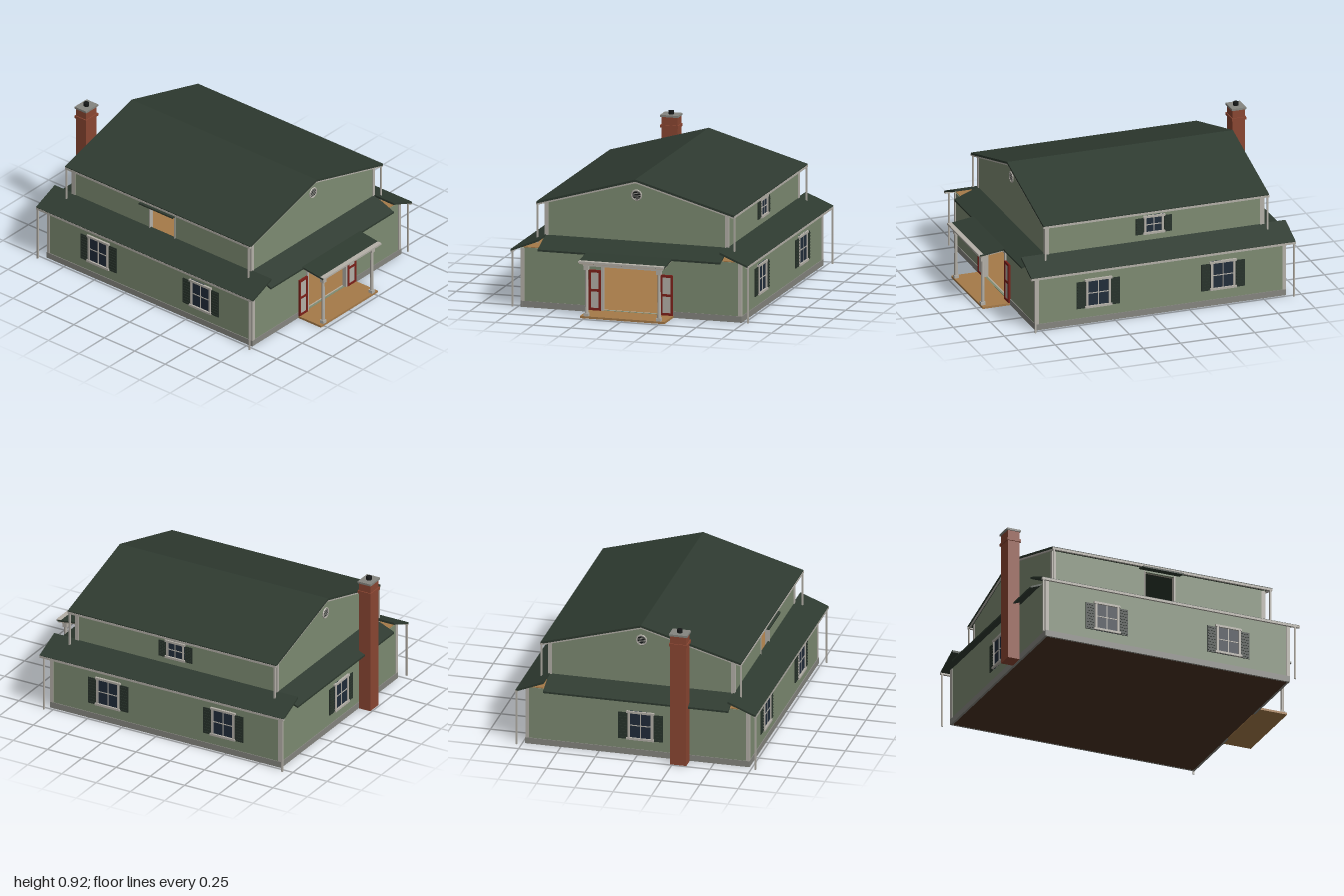
import * as THREE from 'three';

const mat = (color) => new THREE.MeshStandardMaterial({ color, flatShading: true });
const M = {
  siding: mat(0x7d8b72), roof: mat(0x2e3a30), trim: mat(0xb4b0a8), inside: mat(0xb4aa9c),
  stone: mat(0x85857f), brick: mat(0x8a4632), wood: mat(0xa57a48), earth: mat(0x4a3222),
  red: mat(0x7c2019), glass: mat(0x202c3a), shutter: mat(0x28332b), black: mat(0x161818),
};

export function createModel() {
  const house = new THREE.Group();
  house.name = 'house';

  const add = (name, geo, m, parent = house) => {
    const mesh = new THREE.Mesh(geo, m);
    mesh.name = name;
    parent.add(mesh);
    return mesh;
  };
  // box from its min and max along each axis
  const box = (name, m, x0, x1, y0, y1, z0, z1, parent) =>
    add(name, new THREE.BoxGeometry(x1 - x0, y1 - y0, z1 - z0)
      .translate((x0 + x1) / 2, (y0 + y1) / 2, (z0 + z1) / 2), m, parent);

  const outline = (pts, hole) => {
    const s = new THREE.Shape(pts.map((p) => new THREE.Vector2(...p)));
    if (hole) {
      const [a, b, c, d] = hole;
      s.holes.push(new THREE.Path([[a, c], [a, d], [b, d], [b, c]].map((p) => new THREE.Vector2(...p))));
    }
    return s;
  };
  const extrude = (pts, depth, hole) =>
    new THREE.ExtrudeGeometry(outline(pts, hole), { depth, bevelEnabled: false });
  // (x, y) outline running z0..z1, and (z, y) outline running x0..x1
  const alongZ = (name, m, pts, z0, z1, hole) =>
    add(name, extrude(pts, z1 - z0, hole).translate(0, 0, z0), m);
  const alongX = (name, m, pts, x0, x1, hole) =>
    add(name, extrude(pts, x1 - x0, hole).rotateY(-Math.PI / 2).translate(x1, 0, 0), m);

  const rect = (a, b, c, d) => [[a, c], [b, c], [b, d], [a, d]];
  const gable = (z, y0, y1, top) => [[-z, y0], [z, y0], [z, y1], [0, top], [-z, y1]];

  // foundation and floors
  box('groundSlab', M.earth, -0.89, 0.77, 0, 0.006, -0.72, 0.72);
  box('groundFloor', M.wood, -0.88, 0.775, 0.006, 0.014, -0.71, 0.71);
  for (const s of [-1, 1]) {
    const z = s * 0.727;
    box('foundationLong', M.stone, -0.905, 0.785, 0, 0.04, z - 0.006, z + 0.006);
  }
  box('foundationLeftEnd', M.stone, -0.905, -0.89, 0, 0.04, -0.73, 0.73);
  for (const s of [-1, 1])
    box('foundationDoorEnd', M.stone, 0.772, 0.784, 0, 0.04, Math.min(s * 0.2, s * 0.73), Math.max(s * 0.2, s * 0.73));

  // ground storey walls with pale lining
  const doorway = [-0.19, 0.19, 0.015, 0.325];
  for (const s of [-1, 1]) {
    const z = s * 0.72, zi = s * 0.707;
    box('longWall', M.siding, -0.9, 0.78, 0.03, 0.385, z - 0.008, z + 0.008);
    box('longWallLining', M.inside, -0.89, 0.77, 0.014, 0.375, zi - 0.005, zi + 0.005);
  }
  alongX('chimneyEndWall', M.siding, rect(-0.728, 0.728, 0.03, 0.385), -0.9, -0.885);
  alongX('chimneyEndLining', M.inside, rect(-0.71, 0.71, 0.014, 0.375), -0.885, -0.875);
  alongX('porchEndWall', M.siding, rect(-0.728, 0.728, 0.01, 0.385), 0.765, 0.78, doorway);
  alongX('porchEndLining', M.inside, rect(-0.71, 0.71, 0.01, 0.375), 0.755, 0.765, doorway);
  box('ceiling', M.inside, -0.89, 0.77, 0.374, 0.382, -0.715, 0.715);
  box('upperFloor', M.wood, -0.895, 0.775, 0.382, 0.39, -0.72, 0.72);

  // upper storey
  const loft = [-0.16, 0.04, 0.4, 0.64];
  alongZ('upperFrontWall', M.siding, rect(-0.8, 0.67, 0.385, 0.665), 0.59, 0.605, loft);
  alongZ('upperFrontLining', M.inside, rect(-0.79, 0.66, 0.39, 0.66), 0.58, 0.59, loft);
  box('upperBackWall', M.siding, -0.8, 0.67, 0.385, 0.665, -0.605, -0.59);
  box('upperBackLining', M.inside, -0.79, 0.66, 0.39, 0.66, -0.59, -0.58);
  for (const [x, dir] of [[0.67, -1], [-0.8, 1]]) {
    const span = (a, b) => [Math.min(x + dir * a, x + dir * b), Math.max(x + dir * a, x + dir * b)];
    alongX('gableWall', M.siding, gable(0.605, 0.385, 0.667, 0.842), ...span(0, 0.015));
    alongX('gableLining', M.inside, gable(0.59, 0.39, 0.66, 0.83), ...span(0.015, 0.025));
  }

  // corner boards
  for (const sz of [-1, 1]) {
    for (const x of [-0.893, 0.773]) {
      box('cornerBoard', M.trim, x - 0.012, x + 0.012, 0.04, 0.383, sz * 0.72 - 0.012, sz * 0.72 + 0.012);
    }
    for (const x of [-0.79, 0.66]) {
      box('upperCornerBoard', M.trim, x - 0.014, x + 0.014, 0.39, 0.66, sz * 0.597 - 0.012, sz * 0.597 + 0.012);
    }
  }

  // main roof with rake boards
  const chevron = (z, top, eave, t) =>
    [[-z, eave - t], [0, top - t], [z, eave - t], [z, eave], [0, top], [-z, eave]];
  alongX('mainRoof', M.roof, chevron(0.655, 0.857, 0.67, 0.014), -0.82, 0.7);
  for (const x of [-0.816, 0.688])
    alongX('rakeBoard', M.trim, chevron(0.645, 0.844, 0.66, 0.012), x, x + 0.008);

  for (const s of [-1, 1]) {
    // front and back skirt roofs, gutters and downspouts
    const skirt = [[0.6, 0.442], [0.785, 0.368], [0.785, 0.38], [0.6, 0.456]].map(([z, y]) => [s * z, y]);
    alongX('skirtRoof', M.roof, skirt, -0.95, 0.83);
    box('skirtGutter', M.trim, -0.95, 0.83, 0.362, 0.377, s * 0.779 - 0.007, s * 0.779 + 0.007);
    box('upperGutter', M.trim, -0.82, 0.7, 0.65, 0.664, s * 0.65 - 0.007, s * 0.65 + 0.007);
    for (const x of [-0.94, 0.8])
      box('downspout', M.trim, x - 0.005, x + 0.005, 0.004, 0.37, s * 0.78 - 0.005, s * 0.78 + 0.005);
    for (const x of [-0.81, 0.686])
      box('upperDownspout', M.trim, x - 0.005, x + 0.005, 0.4, 0.66, s * 0.652 - 0.005, s * 0.652 + 0.005);
  }
  // end skirt roofs
  alongZ('porchEndSkirt', M.roof, [[0.665, 0.44], [0.83, 0.378], [0.83, 0.39], [0.665, 0.454]], -0.605, 0.605);
  alongZ('chimneyEndSkirt', M.roof, [[-0.795, 0.44], [-0.95, 0.378], [-0.95, 0.39], [-0.795, 0.454]], -0.605, 0.605);

  // loft opening trim and awning
  for (const x of [-0.163, 0.043])
    box('loftJamb', M.trim, x - 0.004, x + 0.004, 0.4, 0.645, 0.585, 0.612);
  alongX('loftAwning', M.roof, [[0.6, 0.652], [0.672, 0.638], [0.672, 0.648], [0.6, 0.664]], -0.2, 0.08);

  // porch
  box('porchFloor', M.wood, 0.775, 0.97, 0, 0.014, -0.28, 0.28);
  alongZ('porchRoof', M.roof, [[0.79, 0.386], [0.99, 0.36], [0.99, 0.37], [0.79, 0.398]], -0.285, 0.285);
  alongZ('porchCeiling', M.inside, [[0.78, 0.379], [0.985, 0.353], [0.985, 0.36], [0.78, 0.386]], -0.28, 0.28);
  box('porchGutter', M.trim, 0.966, 0.998, 0.362, 0.374, -0.283, 0.283);
  box('porchBeam', M.trim, 0.94, 0.97, 0.34, 0.358, -0.26, 0.26);
  for (const z of [-0.24, 0.24]) {
    const post = new THREE.Group();
    post.name = 'porchPost';
    post.position.set(0.955, 0.014, z);
    house.add(post);
    add('shaft', new THREE.CylinderGeometry(0.01, 0.012, 0.326, 12).translate(0, 0.163, 0), M.trim, post);
    box('base', M.trim, -0.015, 0.015, 0, 0.02, -0.015, 0.015, post);
    box('capital', M.trim, -0.015, 0.015, 0.3, 0.326, -0.015, 0.015, post);
  }

  // doorway casing and doors folded back on the wall
  box('doorHead', M.trim, 0.762, 0.792, 0.32, 0.335, -0.205, 0.205);
  for (const s of [-1, 1]) {
    box('doorJamb', M.trim, 0.762, 0.79, 0.014, 0.325, s * 0.19 - 0.008, s * 0.19 + 0.008);
    const door = new THREE.Group();
    door.name = 'openDoor';
    door.position.set(0.789, 0.014, s * 0.238);
    house.add(door);
    box('doorPanels', M.trim, -0.005, 0.003, 0.01, 0.25, -0.034, 0.034, door);
    for (const z of [-0.033, 0.033]) box('stile', M.red, -0.006, 0.006, 0, 0.26, z - 0.007, z + 0.007, door);
    for (const y of [0.008, 0.13, 0.253]) box('rail', M.red, -0.006, 0.006, y - 0.008, y + 0.008, -0.036, 0.036, door);
  }

  // shuttered window facing +z, origin at its centre
  const addWindow = (w, h, sw, x, y, z, turn) => {
    const g = new THREE.Group();
    g.name = 'window';
    g.position.set(x, y, z);
    g.rotation.y = turn;
    house.add(g);
    const a = w / 2, b = h / 2, t = 0.014;
    box('glass', M.glass, -a, a, -b, b, -0.004, 0.003, g);
    for (const s of [-1, 1]) {
      box('sideCasing', M.trim, s * (a - t / 2) - t / 2, s * (a - t / 2) + t / 2, -b, b, -0.004, 0.01, g);
      const c = s * (a + sw / 2 + 0.002);
      box('shutter', M.shutter, c - sw / 2, c + sw / 2, -b, b - 0.015, -0.004, 0.004, g);
      for (let i = 0; i < 9; i++) {
        const yy = -b + 0.012 + i * (h - 0.039) / 8;
        box('slat', M.shutter, c - sw * 0.4, c + sw * 0.4, yy - 0.003, yy + 0.003, 0, 0.008, g);
      }
    }
    box('headCasing', M.trim, -a - 0.008, a + 0.008, b - t, b, -0.004, 0.013, g);
    box('sill', M.trim, -a - 0.008, a + 0.008, -b, -b + t, -0.004, 0.015, g);
    box('uprightBar', M.trim, -0.003, 0.003, -b, b, 0, 0.006, g);
    box('crossBar', M.trim, -a, a, -0.003, 0.003, 0, 0.006, g);
  };
  for (const x of [-0.48, 0.36]) {
    addWindow(0.165, 0.195, 0.062, x, 0.203, 0.73, 0);
    addWindow(0.165, 0.195, 0.062, x, 0.203, -0.73, Math.PI);
  }
  addWindow(0.165, 0.195, 0.062, -0.902, 0.203, 0.02, -Math.PI / 2);
  addWindow(0.13, 0.125, 0.055, -0.06, 0.56, -0.607, Math.PI);

  // round louvred gable vents
  for (const [x, turn] of [[0.672, Math.PI / 2], [-0.802, -Math.PI / 2]]) {
    const vent = new THREE.Group();
    vent.name = 'gableVent';
    vent.position.set(x, 0.75, 0);
    vent.rotation.y = turn;
    house.add(vent);
    add('ring', new THREE.TorusGeometry(0.032, 0.005, 6, 24), M.trim, vent);
    add('recess', new THREE.CircleGeometry(0.032, 24).translate(0, 0, 0.001), M.black, vent);
    for (let i = -2; i <= 2; i++) {
      const y = i * 0.011, r = Math.sqrt(0.03 ** 2 - y * y);
      box('louvre', M.stone, -r, r, y - 0.002, y + 0.002, 0, 0.004, vent);
    }
  }

  // chimney
  box('chimneyStack', M.brick, -0.99, -0.908, 0, 0.885, 0.237, 0.342);
  box('chimneyCollar', M.brick, -0.997, -0.901, 0.815, 0.833, 0.23, 0.349);
  box('chimneyCap', M.stone, -0.997, -0.901, 0.885, 0.898, 0.23, 0.349);
  add('chimneyPot', new THREE.CylinderGeometry(0.018, 0.018, 0.022, 12).translate(-0.949, 0.909, 0.29), M.black);

  return house;
}
